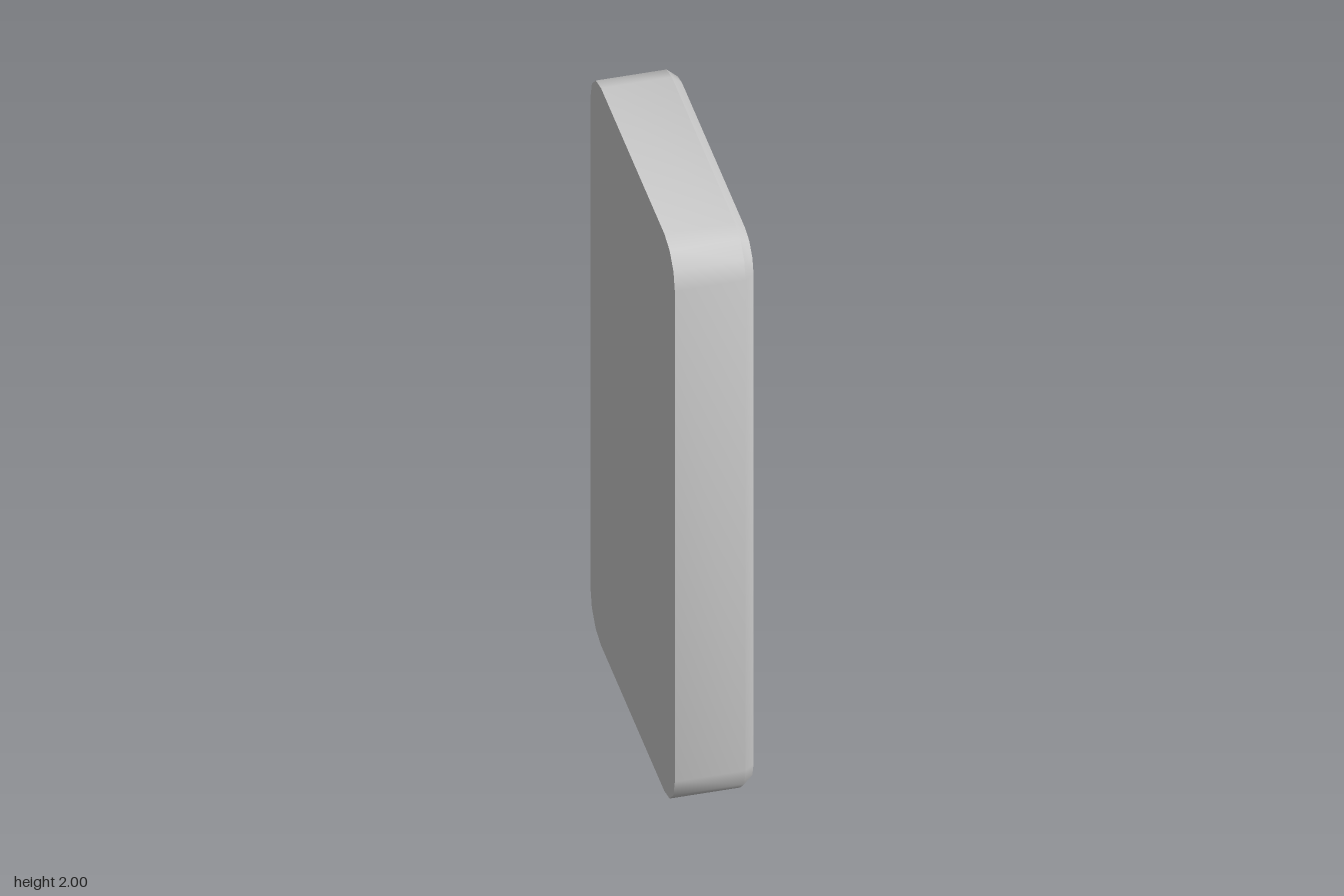
import * as THREE from 'three';
import { mergeGeometries, toCreasedNormals } from 'three/addons/utils/BufferGeometryUtils.js';

const HALF_T = 0.12, HALF_W = 0.48, HALF_H = 1;
const PIP_R = 0.107, PIP_SIDES = 10, PIP_DEPTH = 0.09;

// counter-clockwise rectangle with corners rounded in three steps
function roundedLoop(w, h, r) {
  const pts = [];
  for (let q = 0; q < 4; q++) {
    const cx = (q === 0 || q === 3 ? 1 : -1) * (w - r);
    const cy = (q < 2 ? 1 : -1) * (h - r);
    for (let s = 0; s <= 3; s++) {
      const a = (q + s / 3) * Math.PI / 2;
      pts.push(new THREE.Vector2(cx + r * Math.cos(a), cy + r * Math.sin(a)));
    }
  }
  return pts;
}

function rectLoop(x0, x1, y0, y1) {
  return [[x0, y0], [x1, y0], [x1, y1], [x0, y1]].map(p => new THREE.Vector2(...p));
}

// walls joining successive loops, each at its own depth
function loft(rings) {
  const pos = [];
  for (let k = 0; k < rings.length - 1; k++) {
    const [A, za] = rings[k], [B, zb] = rings[k + 1];
    A.forEach((a, i) => {
      const j = (i + 1) % A.length;
      const a1 = A[j], b = B[i], b1 = B[j];
      pos.push(a.x, a.y, za, a1.x, a1.y, za, b1.x, b1.y, zb);
      pos.push(a.x, a.y, za, b1.x, b1.y, zb, b.x, b.y, zb);
    });
  }
  const g = new THREE.BufferGeometry();
  g.setAttribute('position', new THREE.Float32BufferAttribute(pos, 3));
  return g;
}

// flat face filling a loop
function cap(loop, z, holes = []) {
  const shape = new THREE.Shape(loop);
  holes.forEach(h => shape.holes.push(new THREE.Path(h)));
  const g = new THREE.ShapeGeometry(shape).toNonIndexed().translate(0, 0, z);
  g.deleteAttribute('uv');
  g.deleteAttribute('normal');
  return g;
}

export function createModel() {
  const group = new THREE.Group();
  const tile = new THREE.Group();
  tile.name = 'tile';
  const mat = new THREE.MeshStandardMaterial({ color: 0xcccccc });
  const flat = new THREE.MeshStandardMaterial({ color: 0xcccccc, flatShading: true });
  const add = (name, geometry, material) => {
    const m = new THREE.Mesh(geometry, material);
    m.name = name;
    tile.add(m);
    return m;
  };

  // openings in the face
  const pips = [-1, 0, 1].map(i => new THREE.Vector2(i * 0.242, 0.502 + i * 0.251));
  const pipLoops = pips.map(c => Array.from({ length: PIP_SIDES }, (_, i) => {
    const a = i / PIP_SIDES * Math.PI * 2;
    return new THREE.Vector2(c.x + PIP_R * Math.cos(a), c.y + PIP_R * Math.sin(a));
  }));
  const slotRim = rectLoop(-0.405, 0.39, -0.043, 0.048);
  const slotFloor = rectLoop(-0.395, 0.382, -0.032, 0.04);

  // slab: flat back, straight sides, chamfered front edge
  const outer = roundedLoop(HALF_W, HALF_H, 0.12);
  const inner = roundedLoop(HALF_W - 0.025, HALF_H - 0.025, 0.095);
  const back = cap(outer, 0).rotateY(Math.PI).translate(0, 0, -HALF_T);
  const body = mergeGeometries([
    loft([[outer, -HALF_T], [outer, HALF_T - 0.03], [inner, HALF_T]]),
    back,
    cap(inner, HALF_T, [...pipLoops, slotRim]),
  ]);
  add('body', toCreasedNormals(body, 0.6), mat);

  // faceted pip bowls
  const bowl = new THREE.SphereGeometry(PIP_R, PIP_SIDES, 5, 0, Math.PI * 2, 0, Math.PI / 2)
    .scale(1, -PIP_DEPTH / PIP_R, 1).rotateX(Math.PI / 2);
  pips.forEach(c => add('pip', bowl, flat).position.set(c.x, c.y, HALF_T));

  // dividing groove
  const groove = mergeGeometries([
    loft([[slotRim, HALF_T], [slotFloor, HALF_T - 0.03]]),
    cap(slotFloor, HALF_T - 0.03),
  ]);
  groove.computeVertexNormals();
  add('dividingGroove', groove, flat);

  // stand upright with the marked face towards +x
  tile.rotation.y = Math.PI / 2;
  tile.position.y = HALF_H;
  group.add(tile);
  return group;
}
